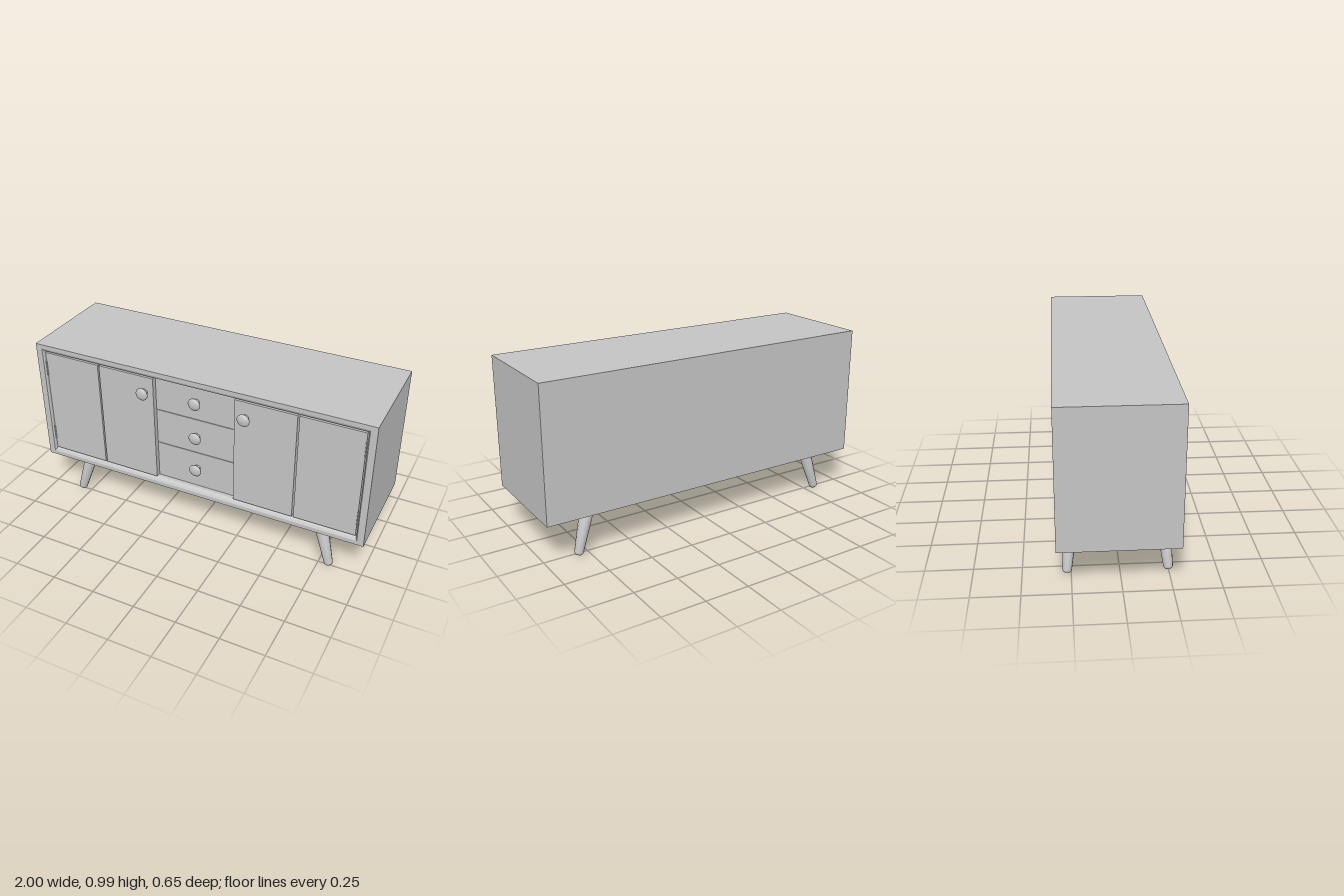
import * as THREE from 'three';

const grey = new THREE.MeshStandardMaterial({ color: 0xc4c4c4 });
grey.name = 'plain grey';

function add(parent, name, geometry, x = 0, y = 0, z = 0) {
  const mesh = new THREE.Mesh(geometry, grey);
  mesh.name = name;
  mesh.position.set(x, y, z);
  parent.add(mesh);
  return mesh;
}

// Box given by its limits on each axis
function slab(parent, name, x0, x1, y0, y1, z0, z1) {
  return add(parent, name, new THREE.BoxGeometry(x1 - x0, y1 - y0, z1 - z0),
    (x0 + x1) / 2, (y0 + y1) / 2, (z0 + z1) / 2);
}

// Skin through rectangles [halfWidth, bottom, top, z], closed at both ends
function rectangleLoft(sections) {
  const loops = sections.map(([w, b, t, z]) => [[-w, b, z], [w, b, z], [w, t, z], [-w, t, z]]);
  const pos = [];
  const quad = (a, b, c, d) => pos.push(...a, ...b, ...c, ...a, ...c, ...d);
  const first = loops[0], last = loops[loops.length - 1];
  quad(first[3], first[2], first[1], first[0]);
  for (let i = 0; i + 1 < loops.length; i++) {
    for (let k = 0; k < 4; k++) {
      const n = (k + 1) % 4;
      quad(loops[i][k], loops[i][n], loops[i + 1][n], loops[i + 1][k]);
    }
  }
  quad(...last);
  const geometry = new THREE.BufferGeometry();
  geometry.setAttribute('position', new THREE.Float32BufferAttribute(pos, 3));
  geometry.computeVertexNormals();
  return geometry;
}

const lathe = (points, sides) =>
  new THREE.LatheGeometry(points.map(([r, h]) => new THREE.Vector2(r, h)), sides);

export function createModel() {
  const model = new THREE.Group();
  model.name = 'sideboard';

  // Cabinet: plain outside, bevelled lip and recess at the front
  add(model, 'cabinet', rectangleLoft([
    [1, 0.235, 0.985, -0.325],
    [1, 0.235, 0.985, 0.29],
    [0.962, 0.26, 0.96, 0.29],
    [0.955, 0.272, 0.946, 0.283],
    [0.952, 0.28, 0.938, 0.268],
    [0.952, 0.28, 0.938, 0.235],
  ]));

  // Folding doors, two leaves on each side
  const doors = new THREE.Group();
  doors.name = 'doors';
  model.add(doors);
  for (const [name, x0, x1] of [
    ['rightOuterDoor', -0.948, -0.6], ['rightInnerDoor', -0.591, -0.25],
    ['leftInnerDoor', 0.236, 0.586], ['leftOuterDoor', 0.596, 0.948],
  ]) slab(doors, name, x0, x1, 0.285, 0.934, 0.235, 0.279);

  // Hinge pins on the outer door edges
  for (const x of [-0.949, 0.949]) {
    for (const y of [0.395, 0.835]) {
      add(doors, 'hinge', new THREE.CylinderGeometry(0.004, 0.004, 0.095, 8), x, y, 0.279);
    }
  }

  // Three drawers set back between the doors
  const drawers = new THREE.Group();
  drawers.name = 'drawers';
  model.add(drawers);
  for (const [y0, y1] of [[0.283, 0.509], [0.512, 0.727], [0.73, 0.936]]) {
    slab(drawers, 'drawerFront', -0.249, 0.235, y0, y1, 0.235, 0.25);
  }

  // Mushroom knobs on a short stem
  const knobShape = lathe([
    [0.02, 0], [0.018, 0.003], [0.018, 0.02], [0.036, 0.026], [0.037, 0.031],
    [0.031, 0.038], [0.018, 0.043], [0, 0.045],
  ], 16).rotateX(Math.PI / 2);
  for (const x of [-0.305, 0.3]) add(doors, 'doorKnob', knobShape, x, 0.84, 0.279);
  for (const y of [0.84, 0.62, 0.405]) add(drawers, 'drawerKnob', knobShape, 0, y, 0.25);

  // Tapered legs, splayed outwards
  const up = new THREE.Vector3(0, 1, 0);
  for (const side of [-1, 1]) {
    for (const [name, footZ, topZ] of [['frontLeg', 0.25, 0.225], ['backLeg', -0.272, -0.249]]) {
      const foot = new THREE.Vector3(side * 0.812, 0.005, footZ);
      const axis = new THREE.Vector3(side * 0.742, 0.24, topZ).sub(foot);
      const length = axis.length();
      const leg = add(model, name, lathe([
        [0, 0], [0.017, 0], [0.023, 0.006], [0.025, 0.014], [0.038, length], [0, length],
      ], 12), foot.x, foot.y, foot.z);
      leg.quaternion.setFromUnitVectors(up, axis.normalize());
    }
  }
  return model;
}
